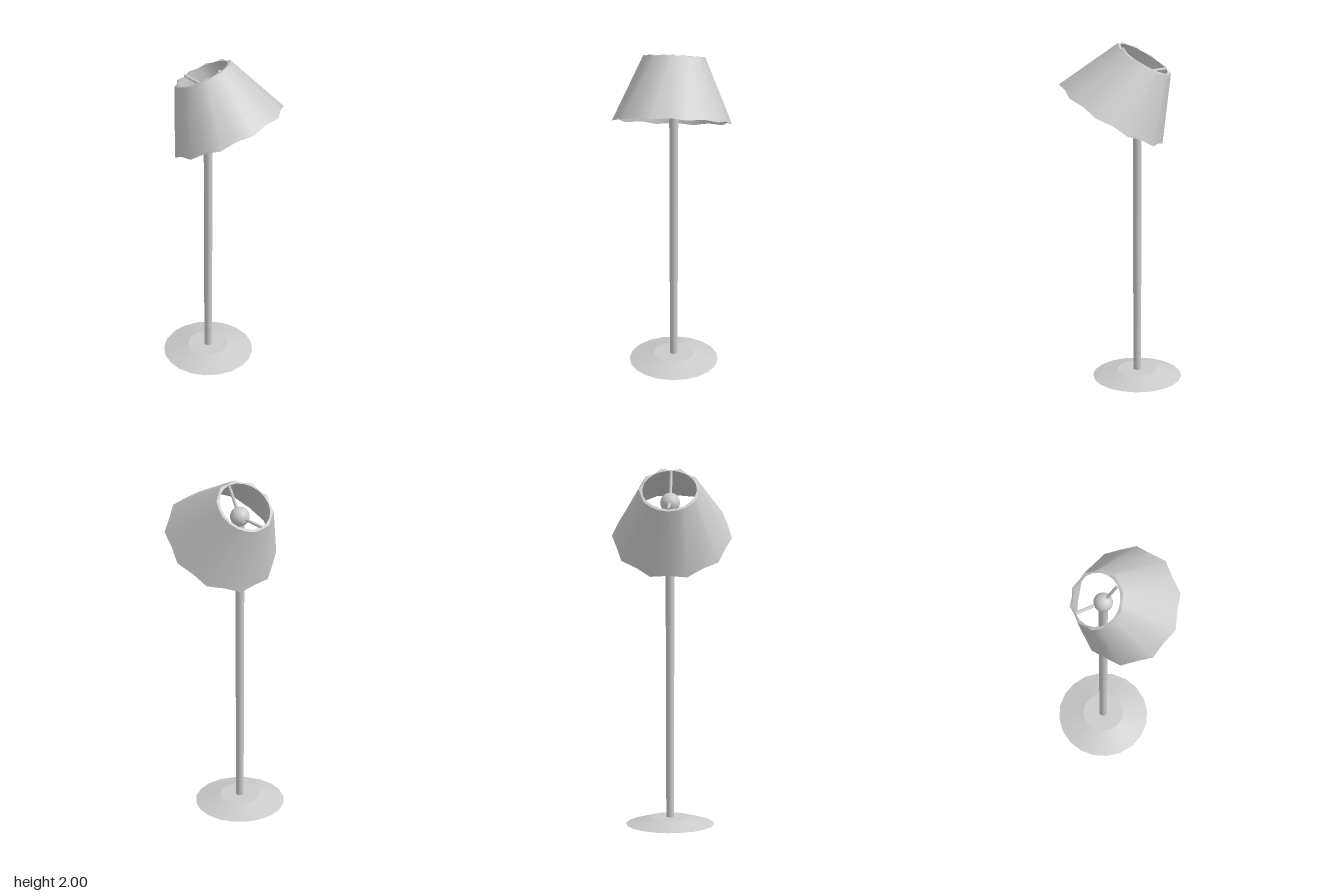
import * as THREE from 'three';

const SIDES = 20;
const POLE_X = -0.09;
const TILT = THREE.MathUtils.degToRad(32);

const grey = new THREE.MeshStandardMaterial({ color: 0xcccccc });
const greyThin = new THREE.MeshStandardMaterial({ color: 0xcccccc, side: THREE.DoubleSide });

function part(name, geometry, material = grey) {
  const mesh = new THREE.Mesh(geometry, material);
  mesh.name = name;
  return mesh;
}

// Joins rings of points, listed bottom to top, into an open outward-facing skin
function skin(rings) {
  const positions = [], index = [];
  rings.forEach((ring) => {
    for (let k = 0; k < SIDES; k++) positions.push(...ring(k, (k / SIDES) * Math.PI * 2));
  });
  for (let r = 0; r < rings.length - 1; r++) {
    for (let k = 0; k < SIDES; k++) {
      const n = (k + 1) % SIDES;
      const a = r * SIDES + k, b = r * SIDES + n;
      index.push(a, a + SIDES, b, b, a + SIDES, b + SIDES);
    }
  }
  const geometry = new THREE.BufferGeometry();
  geometry.setAttribute('position', new THREE.Float32BufferAttribute(positions, 3));
  geometry.setIndex(index);
  geometry.computeVertexNormals();
  return geometry;
}

// Ten-cornered ring whose edge midpoints are shifted along the axis, giving a scalloped rim
function scalloped(radius, y, shift) {
  return (k, angle) => {
    const corner = k % 2 === 1;
    const r = corner ? radius : radius * Math.cos(Math.PI / 10);
    return [r * Math.cos(angle), corner ? y : y + shift, r * Math.sin(angle)];
  };
}

function roundRing(radius, y) {
  return (k, angle) => [radius * Math.cos(angle), y, radius * Math.sin(angle)];
}

// Straight round rod between two points
function rod(name, from, to, radius) {
  const a = new THREE.Vector3(...from), b = new THREE.Vector3(...to);
  const dir = b.clone().sub(a);
  const mesh = part(name, new THREE.CylinderGeometry(radius, radius, dir.length(), 12));
  mesh.position.copy(a).add(b).multiplyScalar(0.5);
  mesh.quaternion.setFromUnitVectors(new THREE.Vector3(0, 1, 0), dir.normalize());
  return mesh;
}

export function createModel() {
  const lamp = new THREE.Group();
  lamp.name = 'floorLamp';

  // Shallow conical foot
  const base = part('base', new THREE.CylinderGeometry(0.11, 0.245, 0.04, SIDES));
  base.position.set(POLE_X, 0.02, 0);
  lamp.add(base);

  // Pole, slightly wider at the top
  const pole = part('pole', new THREE.CylinderGeometry(0.026, 0.021, 1.77, 16));
  pole.position.set(POLE_X, 0.035 + 1.77 / 2, 0);
  lamp.add(pole);

  // Ball joint and the two rods that carry the shade
  const ball = part('ballJoint', new THREE.SphereGeometry(0.055, 24, 16));
  ball.position.set(POLE_X, 1.83, 0);
  lamp.add(ball);
  lamp.add(rod('lowerShadeRod', [POLE_X, 1.83, 0], [-0.26, 1.834, 0], 0.009));
  lamp.add(rod('upperShadeRod', [POLE_X + 0.01, 1.845, 0], [-0.005, 1.99, 0], 0.009));

  // Tilted shade with scalloped rims and a narrow lip around the top opening
  const shade = new THREE.Group();
  shade.name = 'shade';
  shade.position.set(0.0645, 1.6, 0);
  shade.rotation.z = TILT;
  const top = scalloped(0.172, 0.37, -0.01);
  shade.add(part('shadeWall', skin([scalloped(0.335, 0, 0.01), top]), greyThin));
  shade.add(part('shadeLip', skin([top, roundRing(0.152, 0.367)]), greyThin));
  lamp.add(shade);

  return lamp;
}
